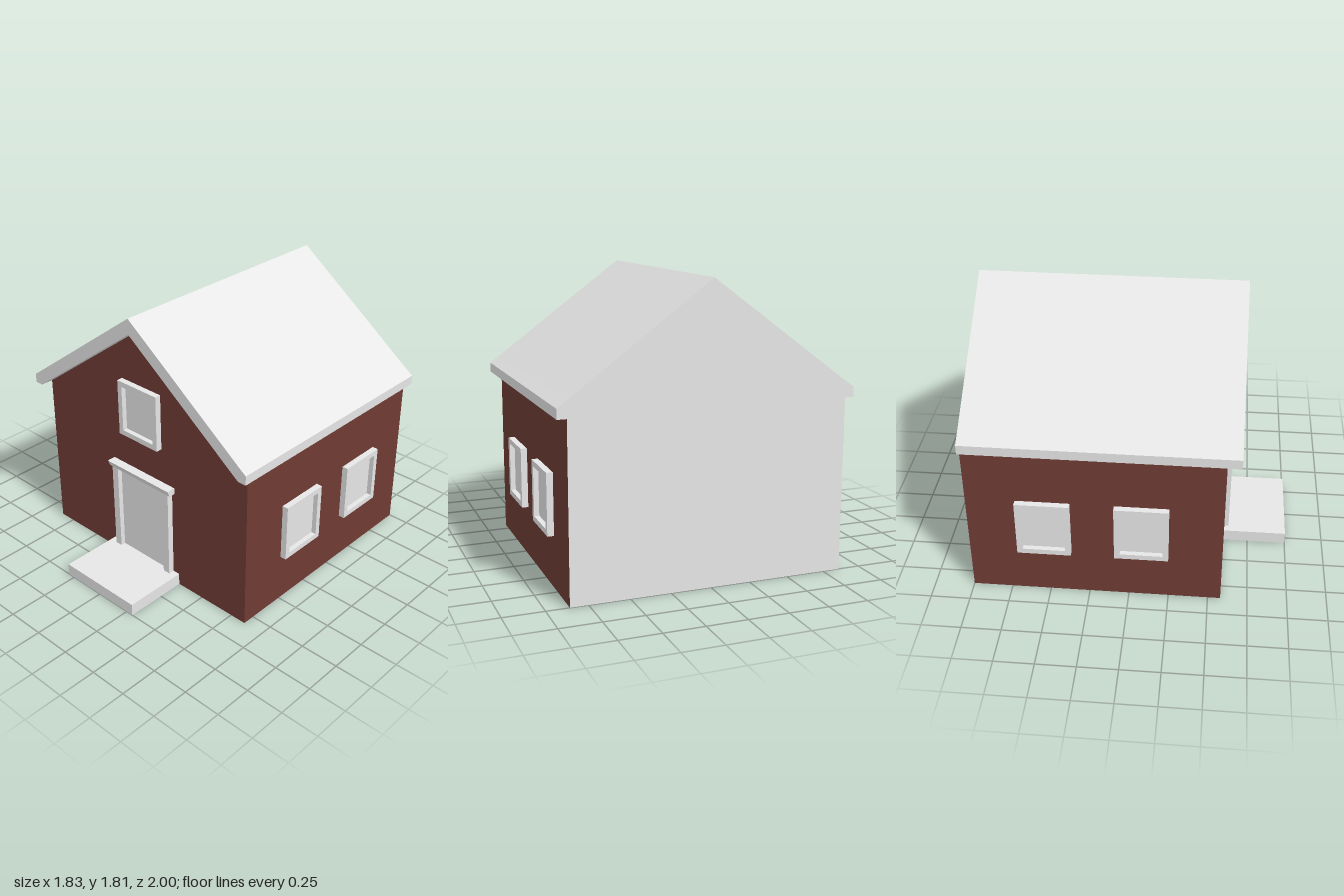
import * as THREE from 'three';

export function createModel() {
  const house = new THREE.Group();
  house.name = 'house';

  const white = new THREE.MeshStandardMaterial({ color: 0xe6e6e6 });
  white.name = 'white';
  const red = new THREE.MeshStandardMaterial({ color: 0x6f3c34 });
  red.name = 'barn red';

  const halfW = 0.86, eaveY = 1.077, peakY = 1.71;
  const frontZ = 0.58, backZ = -1, depth = frontZ - backZ;

  const polygon = (pts) => new THREE.Shape(pts.map(([x, y]) => new THREE.Vector2(x, y)));

  function add(parent, name, geometry, material, x = 0, y = 0, z = 0) {
    const mesh = new THREE.Mesh(geometry, material);
    mesh.name = name;
    mesh.position.set(x, y, z);
    parent.add(mesh);
    return mesh;
  }

  const extrude = (shape, d) =>
    new THREE.ExtrudeGeometry(shape, { depth: d, bevelEnabled: false });

  // Walls: red front and sides, white back and floor
  const gable = polygon([[-halfW, 0], [halfW, 0], [halfW, eaveY], [0, peakY], [-halfW, eaveY]]);
  add(house, 'frontWall', new THREE.ShapeGeometry(gable), red, 0, 0, frontZ);
  add(house, 'backWall', new THREE.ShapeGeometry(gable), white, 0, 0, backZ).rotation.y = Math.PI;
  for (const side of [-1, 1]) {
    const wall = add(house, side > 0 ? 'leftWall' : 'rightWall',
      new THREE.PlaneGeometry(depth, eaveY), red, side * halfW, eaveY / 2, (frontZ + backZ) / 2);
    wall.rotation.y = side * Math.PI / 2;
  }
  add(house, 'floor', new THREE.PlaneGeometry(halfW * 2, depth), white,
    0, 0, (frontZ + backZ) / 2).rotation.x = Math.PI / 2;

  // Roof: one chevron section, overhanging at the front and eaves
  const roof = polygon([
    [0, 1.812], [-0.86, 1.178], [-0.917, 1.138], [-0.917, eaveY], [-halfW, eaveY],
    [0, peakY], [halfW, eaveY], [0.917, eaveY], [0.917, 1.138], [0.86, 1.178],
  ]);
  add(house, 'roof', extrude(roof, 1.665), white, 0, 0, backZ);

  // Window: raised frame around a recessed pane, facing +z
  function makeWindow(name, w, h) {
    const win = new THREE.Group();
    win.name = name;
    const rect = (a, b) => [[-a, -b], [a, -b], [a, b], [-a, b]];
    const border = 0.035;
    const a = w / 2 - border, b = h / 2 - border;
    const frame = polygon(rect(w / 2, h / 2));
    frame.holes.push(polygon(rect(a, b)));
    add(win, 'windowFrame', extrude(frame, 0.04), white);
    add(win, 'windowPane', new THREE.BoxGeometry(a * 2, b * 2, 0.008), white, 0, 0, 0.004);
    house.add(win);
    return win;
  }

  makeWindow('gableWindow', 0.33, 0.375).position.set(0, 1.152, frontZ);
  for (const side of [-1, 1]) {
    for (const z of [0.08, -0.525]) {
      const win = makeWindow('sideWindow', 0.335, 0.382);
      win.position.set(side * halfW, 0.513, z);
      win.rotation.y = side * Math.PI / 2;
    }
  }

  // Doorway: panel, two posts and a tapered lintel
  add(house, 'door', new THREE.BoxGeometry(0.4, 0.605, 0.008), white, 0, 0.3825, frontZ + 0.004);
  for (const side of [-1, 1]) {
    add(house, 'doorPost', new THREE.BoxGeometry(0.05, 0.605, 0.04), white,
      side * 0.225, 0.3825, frontZ + 0.02);
  }
  const lintelSection = polygon([[0, 0.685], [0.042, 0.685], [0.06, 0.727], [0, 0.727]]);
  const lintel = extrude(lintelSection, 0.54).translate(0, 0, -0.27).rotateY(-Math.PI / 2);
  add(house, 'lintel', lintel, white, 0, 0, frontZ);

  // Doorstep
  add(house, 'doorstep', new THREE.BoxGeometry(0.6, 0.08, 0.42), white, 0, 0.04, 0.79);

  return house;
}
